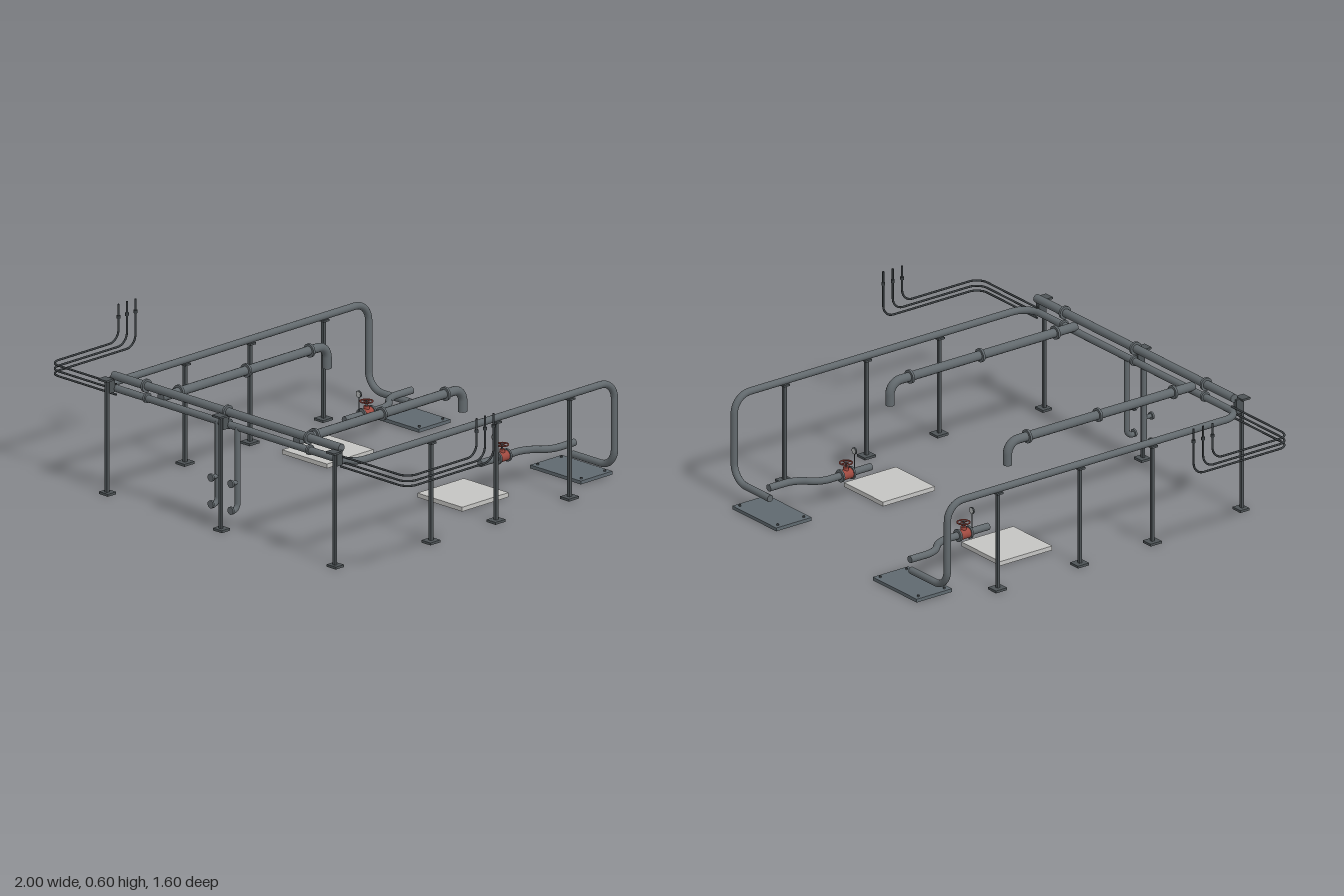
import * as THREE from 'three';
import { mergeGeometries } from 'three/addons/utils/BufferGeometryUtils.js';

const V = (x, y, z) => new THREE.Vector3(x, y, z);
const UP = V(0, 1, 0);

const mat = (name, color) => {
  const m = new THREE.MeshStandardMaterial({ color });
  m.name = name;
  return m;
};

// Curve that steps exactly through a list of points
class PointPath extends THREE.Curve {
  constructor(pts) { super(); this.pts = pts; }
  getPointAt(u) { return this.pts[Math.round(u * (this.pts.length - 1))].clone(); }
  getPoint(u) { return this.getPointAt(u); }
  getTangentAt(u) {
    const p = this.pts, n = p.length - 1, i = Math.round(u * n);
    return p[Math.min(n, i + 1)].clone().sub(p[Math.max(0, i - 1)]).normalize();
  }
}

// Capped pipe through corner points, with rounded bends
function pipeGeometry(corners, r, bend, sides = 14) {
  const c = corners.map((p) => V(...p));
  const pts = [c[0]];
  for (let i = 1; i < c.length - 1; i++) {
    const toA = c[i - 1].clone().sub(c[i]).normalize();
    const toB = c[i + 1].clone().sub(c[i]).normalize();
    const at = (d, s) => c[i].clone().addScaledVector(d, s);
    const arc = new THREE.CubicBezierCurve3(
      at(toA, bend), at(toA, bend * 0.45), at(toB, bend * 0.45), at(toB, bend));
    pts.push(...arc.getPoints(8));
  }
  pts.push(c[c.length - 1]);
  const path = new PointPath(pts);
  const cap = (u, sign) => {
    const dir = path.getTangentAt(u).multiplyScalar(sign);
    const g = new THREE.CircleGeometry(r, sides);
    g.applyQuaternion(new THREE.Quaternion().setFromUnitVectors(V(0, 0, 1), dir));
    const p = path.getPointAt(u);
    return g.translate(p.x, p.y, p.z);
  };
  return mergeGeometries([
    new THREE.TubeGeometry(path, pts.length - 1, r, sides, false), cap(0, -1), cap(1, 1)]);
}

export function createModel() {
  const pipeMat = mat('pipe steel', 0x62696d);
  const supportMat = mat('support steel', 0x4d5356);
  const conduitMat = mat('conduit dark', 0x3a3f42);
  const plateMat = mat('plate steel', 0x5f696f);
  const padMat = mat('concrete pad', 0xc4c4c2);
  const redMat = mat('valve red', 0xa04a40);
  const gaugeMat = mat('gauge face', 0xb9bcbc);

  const model = new THREE.Group();
  model.name = 'pipework';

  const add = (name, geo, material, parent = model) => {
    const m = new THREE.Mesh(geo, material);
    m.name = name;
    parent.add(m);
    return m;
  };
  const pipe = (name, corners, r, bend, material = pipeMat) =>
    add(name, pipeGeometry(corners, r, bend), material);
  // Cylinder or disc centred at p along direction d
  const disc = (name, p, d, r, len, material = pipeMat) => {
    const m = add(name, new THREE.CylinderGeometry(r, r, len, 20), material);
    m.position.set(...p);
    m.quaternion.setFromUnitVectors(UP, V(...d));
    return m;
  };
  const box = (name, p, s, material) => {
    const m = add(name, new THREE.BoxGeometry(...s), material);
    m.position.set(...p);
    return m;
  };
  const X = [1, 0, 0], Y = [0, 1, 0], Z = [0, 0, 1];

  // Header across the front and the long loop below it
  disc('header', [0, 0.481, 0.735], X, 0.017, 1.26);
  pipe('loopPipe', [
    [-0.45, 0.07, -0.717], [-0.68, 0.07, -0.717], [-0.68, 0.428, -0.717], [-0.68, 0.428, 0.73],
    [0.68, 0.428, 0.73], [0.68, 0.428, -0.717], [0.68, 0.07, -0.717], [0.45, 0.07, -0.717],
  ], 0.0145, 0.075);
  for (const x of [-0.45, 0, 0.45]) {
    disc('headerFlange', [x, 0.481, 0.735], X, 0.027, 0.01);
    disc('loopFlange', [x, 0.43, 0.73], X, 0.021, 0.01);
  }

  // Front posts with base plates and pipe brackets
  for (const x of [-0.63, 0, 0.63]) {
    box('frontPost', [x, 0.235, 0.772], [0.014, 0.47, 0.012], supportMat);
    box('frontBase', [x, 0.005, 0.769], [0.05, 0.01, 0.045], supportMat);
    box('frontBracket', [x, 0.473, 0.778], [0.045, 0.008, 0.04], supportMat);
    box('frontArm', [x, 0.445, 0.754], [0.02, 0.06, 0.03], supportMat);
  }

  for (const s of [-1, 1]) {
    // Side posts
    for (const z of [0.293, -0.065, -0.469]) {
      box('sidePost', [s * 0.68, 0.208, z], [0.013, 0.416, 0.013], supportMat);
      box('sideBase', [s * 0.68, 0.005, z], [0.05, 0.01, 0.055], supportMat);
      box('sideSaddle', [s * 0.68, 0.412, z], [0.034, 0.008, 0.03], supportMat);
    }

    // Branch running back from the header, turning down at its end
    pipe('branchPipe', [
      [s * 0.375, 0.449, 0.73], [s * 0.375, 0.449, -0.185], [s * 0.375, 0.354, -0.185],
    ], 0.0185, 0.05);
    for (const z of [0.63, 0.26, -0.088])
      disc('branchFlange', [s * 0.375, 0.449, z], Z, 0.028, 0.01);

    // Drop pipe with two forward outlets
    pipe('dropPipe', [
      [s * 0.055, 0.43, 0.735], [s * 0.055, 0.09, 0.735], [s * 0.055, 0.09, 0.775],
    ], 0.0115, 0.028);
    disc('dropStub', [s * 0.055, 0.205, 0.754], Z, 0.009, 0.04);
    for (const y of [0.205, 0.095])
      disc('outletFlange', [s * 0.055, y, 0.771], Z, 0.016, 0.008);

    // Offset pipe leading through the valve
    pipe('valvePipe', [
      [s * 0.45, 0.117, -0.725], [s * 0.45, 0.117, -0.595],
      [s * 0.375, 0.117, -0.53], [s * 0.375, 0.117, -0.28],
    ], 0.0145, 0.045);

    // Valve with handwheel
    const vx = s * 0.375, vz = -0.402;
    disc('valveBody', [vx, 0.117, vz], Z, 0.021, 0.046, redMat);
    for (const d of [-0.027, 0.027])
      disc('valveFlange', [vx, 0.117, vz + d], Z, 0.026, 0.008);
    disc('valveBonnet', [vx, 0.138, vz], Y, 0.011, 0.02, redMat);
    disc('valveStem', [vx, 0.155, vz], Y, 0.004, 0.03, supportMat);
    const wheel = add('handwheel', new THREE.TorusGeometry(0.025, 0.003, 8, 24), redMat);
    wheel.rotation.x = Math.PI / 2;
    wheel.position.set(vx, 0.166, vz);
    for (const d of [X, Z]) disc('wheelSpoke', [vx, 0.166, vz], d, 0.002, 0.05, redMat);

    // Pressure gauge
    disc('gaugeStem', [vx, 0.161, -0.36], Y, 0.002, 0.064, supportMat);
    disc('gaugeCase', [vx, 0.205, -0.36], Z, 0.014, 0.006, supportMat);
    disc('gaugeFace', [vx, 0.205, -0.36], Z, 0.011, 0.008, gaugeMat);

    // Ground pads
    box('lightPad', [s * 0.374, 0.009, -0.188], [0.248, 0.018, 0.256], padMat);
    box('darkPlate', [s * 0.448, 0.007, -0.71], [0.28, 0.014, 0.174], plateMat);
    for (const bx of [-0.12, 0.12])
      for (const bz of [-0.065, 0.065])
        disc('plateBolt', [s * 0.448 + bx, 0.016, -0.71 + bz], Y, 0.005, 0.008, supportMat);

    // Three thin conduits sweeping out, back and up
    [[0.445, 0.35], [0.422, 0.304], [0.402, 0.257]].forEach(([y, z]) => {
      pipe('conduit', [
        [s * 0.62, y, 0.73], [s * 0.99, y, 0.73], [s * 0.99, y, z], [s * 0.99, 0.597, z],
      ], 0.0042, 0.05, conduitMat);
      disc('conduitCollar', [s * 0.99, 0.545, z], Y, 0.0075, 0.012, conduitMat);
    });
  }
  return model;
}
